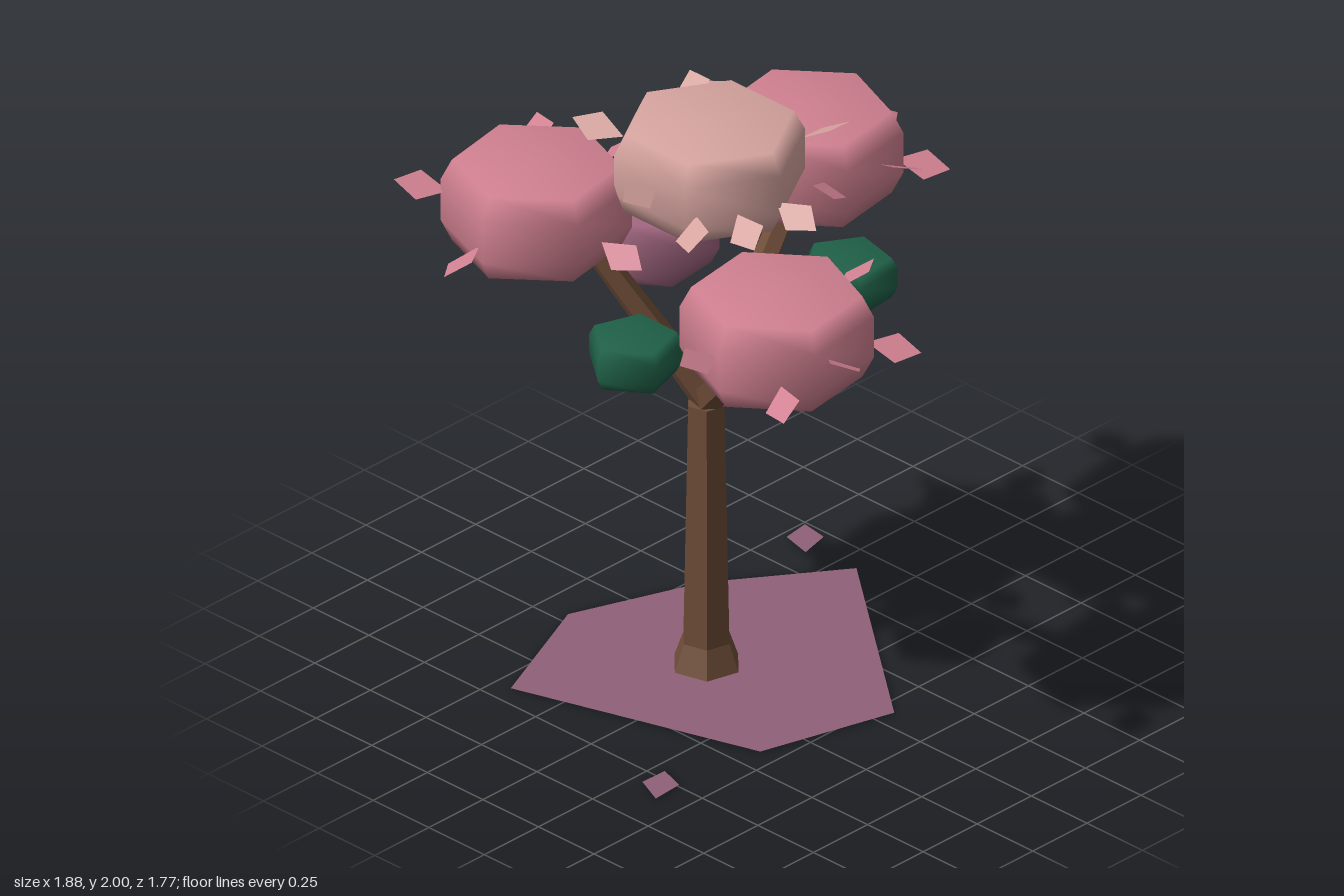
import * as THREE from 'three';

const BARK = 0x6e4c37, PINK = 0xd08090, PALE = 0xd6a49f, MAUVE = 0xa0657f, GREEN = 0x1f6048, FALLEN = 0x8f6079;
const rad = THREE.MathUtils.degToRad;
const material = (color, extra = {}) => new THREE.MeshStandardMaterial({ color, ...extra });

function addMesh(parent, name, geometry, mat) {
  const mesh = new THREE.Mesh(geometry, mat);
  mesh.name = name;
  parent.add(mesh);
  return mesh;
}

// Chunky flat-topped clump with bevelled rims; corner = plan angle of one corner from +x towards +z
function clumpGeometry(r, h, sides, corner) {
  const profile = [[0, -0.5], [0.88, -0.5], [1, -0.25], [1, 0.25], [0.88, 0.5], [0, 0.5]]
    .map(([x, y]) => new THREE.Vector2(x * r, y * h));
  return new THREE.LatheGeometry(profile, sides, Math.PI / 2 - rad(corner));
}

// Thin diamond petal lying along +x
function petalGeometry(length, width) {
  const g = new THREE.BufferGeometry();
  const l = length / 2, w = width / 2;
  g.setAttribute('position', new THREE.Float32BufferAttribute(
    [-l, 0, 0, 0.1 * l, 0, w, l, 0, 0, 0.1 * l, 0, -w], 3));
  g.setIndex([0, 1, 2, 0, 2, 3]);
  g.computeVertexNormals();
  return g;
}

// Tapered branch between two points
function branchGeometry(from, to, r0, r1) {
  const dir = to.clone().sub(from);
  const g = new THREE.CylinderGeometry(r1, r0, dir.length(), 5);
  g.applyQuaternion(new THREE.Quaternion().setFromUnitVectors(new THREE.Vector3(0, 1, 0), dir.clone().normalize()));
  const mid = from.clone().add(to).multiplyScalar(0.5);
  return g.translate(mid.x, mid.y, mid.z);
}

// Clump with loose petals pointing outwards at the given plan angles, alternating high and low
function makeClump(name, centre, r, h, sides, corner, color, petalAngles, petal) {
  const group = new THREE.Group();
  group.name = name;
  group.position.set(...centre);
  addMesh(group, 'clump', clumpGeometry(r, h, sides, corner), material(color));
  const petalMat = material(color, { side: THREE.DoubleSide });
  petalAngles.forEach((angle, i) => {
    const a = rad(angle), side = i % 2 ? -1 : 1;
    const p = addMesh(group, 'petal', petal, petalMat);
    p.position.set(1.2 * r * Math.cos(a), side * 0.18 * h, 1.2 * r * Math.sin(a));
    p.rotation.order = 'YZX';
    p.rotation.set(rad(-25 * side), -a, rad(12 * side));
  });
  return group;
}

export function createModel() {
  const tree = new THREE.Group();
  tree.name = 'blossomTree';
  const bark = material(BARK, { flatShading: true });

  // Six-sided trunk with a flared foot
  const trunkProfile = [[0, 0], [0.12, 0], [0.085, 0.1], [0.067, 0.98], [0, 0.98]].map(p => new THREE.Vector2(...p));
  const trunk = addMesh(tree, 'trunk', new THREE.LatheGeometry(trunkProfile, 6, rad(15)), bark);
  trunk.position.set(-0.125, 0, -0.09);

  // Three branches fanning out from the trunk top
  const fork = new THREE.Vector3(-0.12, 0.99, -0.09);
  [[0.4, 1.52, -0.2], [-0.37, 1.48, 0.4], [-0.38, 1.6, -0.42]].forEach(end =>
    addMesh(tree, 'branch', branchGeometry(fork, new THREE.Vector3(...end), 0.055, 0.038), bark));

  // Blossom and leaf clumps
  const petal = petalGeometry(0.18, 0.12);
  tree.add(
    makeClump('frontBlossom', [-0.375, 1.57, 0.47], 0.315, 0.3, 6, 52, PINK, [178, 133, 101, 47, -2], petal),
    makeClump('leftBlossom', [0.47, 1.625, -0.215], 0.31, 0.3, 6, 51, PINK, [-92, -5, 81, 47, 125], petal),
    makeClump('rightBackBlossom', [-0.49, 1.705, -0.5], 0.31, 0.3, 6, 50, PINK, [-131, 176, -44, 88, 2], petal),
    makeClump('topBlossom', [-0.095, 1.855, -0.105], 0.32, 0.29, 6, 90, PALE, [172, 118, 29, 89, -52, 144, -114], petal),
    makeClump('backBlossom', [0, 1.42, -0.47], 0.23, 0.22, 6, -66, MAUVE, [-18, -67, -150], petal),
    makeClump('rightLeaves', [-0.55, 1.365, -0.005], 0.16, 0.145, 5, 181, GREEN, [], petal),
    makeClump('leftLeaves', [0.17, 1.465, 0.26], 0.16, 0.145, 5, -23, GREEN, [], petal));

  // Carpet of fallen petals around the trunk, plus two strays
  const fallen = material(FALLEN, { side: THREE.DoubleSide });
  const outline = [[-0.41, 0.43], [0.07, 0.565], [0.65, -0.17], [0.24, -0.46], [-0.21, -0.63], [-0.68, -0.43]];
  const carpet = new THREE.ShapeGeometry(new THREE.Shape(outline.map(([x, z]) => new THREE.Vector2(x, -z))));
  addMesh(tree, 'petalCarpet', carpet.rotateX(-Math.PI / 2), fallen).position.y = 0.004;
  [[0.67, -0.42, 45], [-0.79, 0.35, 35]].forEach(([x, z, turn]) => {
    const p = addMesh(tree, 'fallenPetal', petal, fallen);
    p.position.set(x, 0.006, z);
    p.rotation.y = rad(turn);
  });
  return tree;
}
